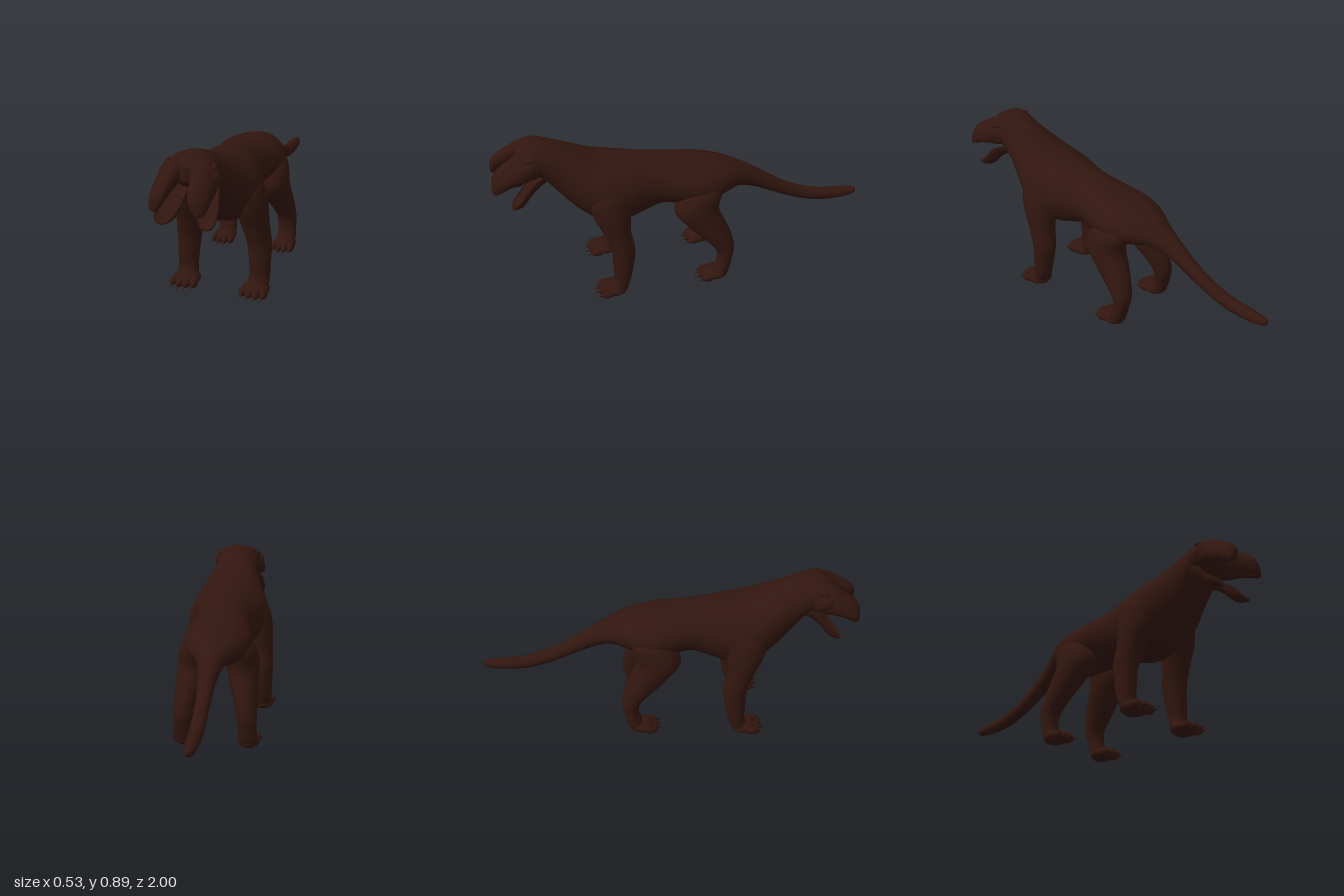
import * as THREE from 'three';

const hide = new THREE.MeshStandardMaterial({ color: 0x32160f, side: THREE.DoubleSide });

function add(parent, name, geometry, position = [0, 0, 0], scale = [1, 1, 1], rotX = 0) {
  const mesh = new THREE.Mesh(geometry, hide);
  mesh.name = name;
  mesh.position.set(...position);
  mesh.scale.set(...scale);
  mesh.rotation.x = rotX;
  parent.add(mesh);
  return mesh;
}

// Smoothly interpolate a list of stations [x, y, z, radiusX, radiusOther]
function sample(stations, t) {
  const n = stations.length - 1;
  const i = Math.min(Math.floor(t * n), n - 1), f = t * n - i;
  const at = k => stations[Math.max(0, Math.min(n, k))];
  const [a, b, c, d] = [at(i - 1), at(i), at(i + 1), at(i + 2)];
  return b.map((v, k) => {
    const r = v + 0.5 * f * (c[k] - a[k] + f * (2 * a[k] - 5 * v + 4 * c[k] - d[k] + f * (3 * (v - c[k]) + d[k] - a[k])));
    return k > 2 ? Math.max(r, 0.002) : r;
  });
}

// Skin elliptical rings: upright ones run toward +z, flat ones run downward
function loft(stations, { flat = false, lean = 0, hollow = 1, steps = 6, sides = 28 } = {}) {
  const pos = [], index = [], rings = (stations.length - 1) * steps;
  for (let i = 0; i <= rings; i++) {
    const [x, y, z, rx, r] = sample(stations, i / rings);
    for (let j = 0; j < sides; j++) {
      const a = j / sides * Math.PI * 2, s = Math.sin(a);
      const off = r * s * (s > 0 ? hollow : 1);
      pos.push(x + rx * Math.cos(a) - lean * off, flat ? y : y + off, flat ? z + off : z);
      if (i < rings) {
        const p = i * sides + j, q = i * sides + (j + 1) % sides;
        index.push(p, q, q + sides, p, q + sides, p + sides);
      }
    }
  }
  const first = pos.length / 3, last = rings * sides;
  pos.push(...stations[0].slice(0, 3), ...stations.at(-1).slice(0, 3));
  for (let j = 0; j < sides; j++) {
    const k = (j + 1) % sides;
    index.push(first, k, j, first + 1, last + j, last + k);
  }
  const g = new THREE.BufferGeometry();
  g.setAttribute('position', new THREE.Float32BufferAttribute(pos, 3));
  g.setIndex(index);
  g.computeVertexNormals();
  return g;
}

// Torso, neck and tail: [z, top, bottom, half width]
const bodyProfile = [
  [-1, 0.355, 0.335, 0.006], [-0.98, 0.363, 0.32, 0.022], [-0.9, 0.37, 0.31, 0.033], [-0.76, 0.385, 0.315, 0.036],
  [-0.61, 0.44, 0.36, 0.037], [-0.48, 0.52, 0.42, 0.043], [-0.38, 0.585, 0.465, 0.06], [-0.29, 0.63, 0.49, 0.095],
  [-0.2, 0.66, 0.47, 0.15], [-0.08, 0.685, 0.445, 0.185], [0.03, 0.705, 0.445, 0.172], [0.13, 0.725, 0.45, 0.152],
  [0.22, 0.738, 0.42, 0.165], [0.32, 0.75, 0.392, 0.2], [0.42, 0.765, 0.4, 0.218], [0.5, 0.79, 0.43, 0.2],
  [0.58, 0.83, 0.49, 0.165], [0.65, 0.862, 0.57, 0.135], [0.72, 0.886, 0.66, 0.125], [0.78, 0.89, 0.72, 0.125],
  [0.83, 0.875, 0.745, 0.095], [0.865, 0.845, 0.775, 0.04],
];

// Limbs, from shoulder or hip to ankle
const frontLeg = [
  [0.12, 0.68, 0.42, 0.03, 0.04], [0.145, 0.61, 0.42, 0.078, 0.1], [0.162, 0.5, 0.41, 0.084, 0.1],
  [0.176, 0.39, 0.388, 0.074, 0.072], [0.19, 0.28, 0.362, 0.065, 0.064], [0.195, 0.18, 0.365, 0.058, 0.055],
  [0.197, 0.1, 0.372, 0.054, 0.045], [0.193, 0.05, 0.39, 0.056, 0.045], [0.192, 0.02, 0.395, 0.045, 0.035],
];
const hindLeg = [
  [0.09, 0.61, -0.1, 0.04, 0.06], [0.12, 0.54, -0.08, 0.08, 0.11], [0.132, 0.44, -0.05, 0.088, 0.12],
  [0.145, 0.35, -0.1, 0.078, 0.105], [0.16, 0.27, -0.155, 0.064, 0.082], [0.17, 0.19, -0.198, 0.055, 0.053],
  [0.176, 0.12, -0.197, 0.05, 0.04], [0.177, 0.06, -0.18, 0.052, 0.043], [0.177, 0.02, -0.17, 0.045, 0.035],
];

// Paired snouts and their hollow lower jaws
const snout = [
  [0.05, 0.81, 0.68, 0.03, 0.04], [0.07, 0.81, 0.76, 0.055, 0.075], [0.083, 0.792, 0.84, 0.058, 0.074],
  [0.09, 0.766, 0.9, 0.05, 0.064], [0.094, 0.74, 0.95, 0.044, 0.06], [0.094, 0.717, 0.985, 0.034, 0.05],
  [0.094, 0.707, 1, 0.015, 0.03],
];
const jaw = [
  [0.05, 0.735, 0.7, 0.045, 0.05], [0.065, 0.73, 0.75, 0.055, 0.062], [0.08, 0.7, 0.8, 0.06, 0.07],
  [0.095, 0.64, 0.85, 0.056, 0.065], [0.107, 0.592, 0.895, 0.042, 0.026], [0.11, 0.576, 0.912, 0.012, 0.008],
];

const ball = new THREE.SphereGeometry(1, 18, 12);
const spike = new THREE.ConeGeometry(1, 2, 8);

// Broad foot with four toes and hooked claws
function addFoot(parent, name, x, z, width) {
  const foot = new THREE.Group();
  foot.name = name;
  add(foot, 'pad', ball, [x, 0.037, z], [width, 0.036, 0.072]);
  for (let i = 0; i < 4; i++) {
    const u = (i - 1.5) / 1.5, tx = x + u * width * 0.76, tz = z + 0.06 - 0.014 * u * u;
    add(foot, 'toe', ball, [tx, 0.031, tz], [width * 0.28, 0.022, 0.038]);
    add(foot, 'claw', spike, [tx, 0.024, tz + 0.043], [0.007, 0.02, 0.008], Math.PI / 2 + 0.4);
  }
  parent.add(foot);
}

export function createModel() {
  const model = new THREE.Group();
  model.name = 'twoSnoutedBeast';

  const body = bodyProfile.map(([z, top, bottom, w]) => [0, (top + bottom) / 2, z, w, (top - bottom) / 2]);
  add(model, 'bodyAndTail', loft(body, { sides: 40, steps: 4 }));

  for (const side of [1, -1]) {
    const label = side > 0 ? 'left' : 'right';
    const mirror = list => list.map(([x, ...rest]) => [side * x, ...rest]);

    add(model, label + 'FrontLeg', loft(mirror(frontLeg), { flat: true }));
    add(model, label + 'HindLeg', loft(mirror(hindLeg), { flat: true }));
    addFoot(model, label + 'FrontFoot', side * 0.19, 0.415, 0.072);
    addFoot(model, label + 'HindFoot', side * 0.177, -0.145, 0.062);

    const head = new THREE.Group();
    head.name = label + 'Head';
    model.add(head);
    add(head, 'snout', loft(mirror(snout), { lean: side * 0.35 }));
    add(head, 'lowerJaw', loft(mirror(jaw), { hollow: -0.45 }));
    add(head, 'cheek', ball, [side * 0.118, 0.785, 0.815], [0.032, 0.045, 0.05]);
    add(head, 'brow', ball, [side * 0.11, 0.838, 0.8], [0.018, 0.012, 0.035], 0.3);

    // Tooth rows on both edges of each jaw
    for (let i = 0; i < 9; i++) {
      const upper = sample(snout, 0.42 + i * 0.055), lower = sample(jaw, 0.4 + i * 0.055);
      for (const edge of [1, -1]) {
        add(head, 'upperTooth', spike,
          [side * (upper[0] + 0.3 * upper[4] + edge * upper[3] * 0.55), upper[1] - upper[4] * 0.85, upper[2]],
          [0.004, 0.01, 0.004], Math.PI);
        add(head, 'lowerTooth', spike,
          [side * (lower[0] + edge * lower[3] * 0.93), lower[1] + 0.004, lower[2]], [0.004, 0.009, 0.004], 0.5);
      }
    }
  }
  return model;
}
